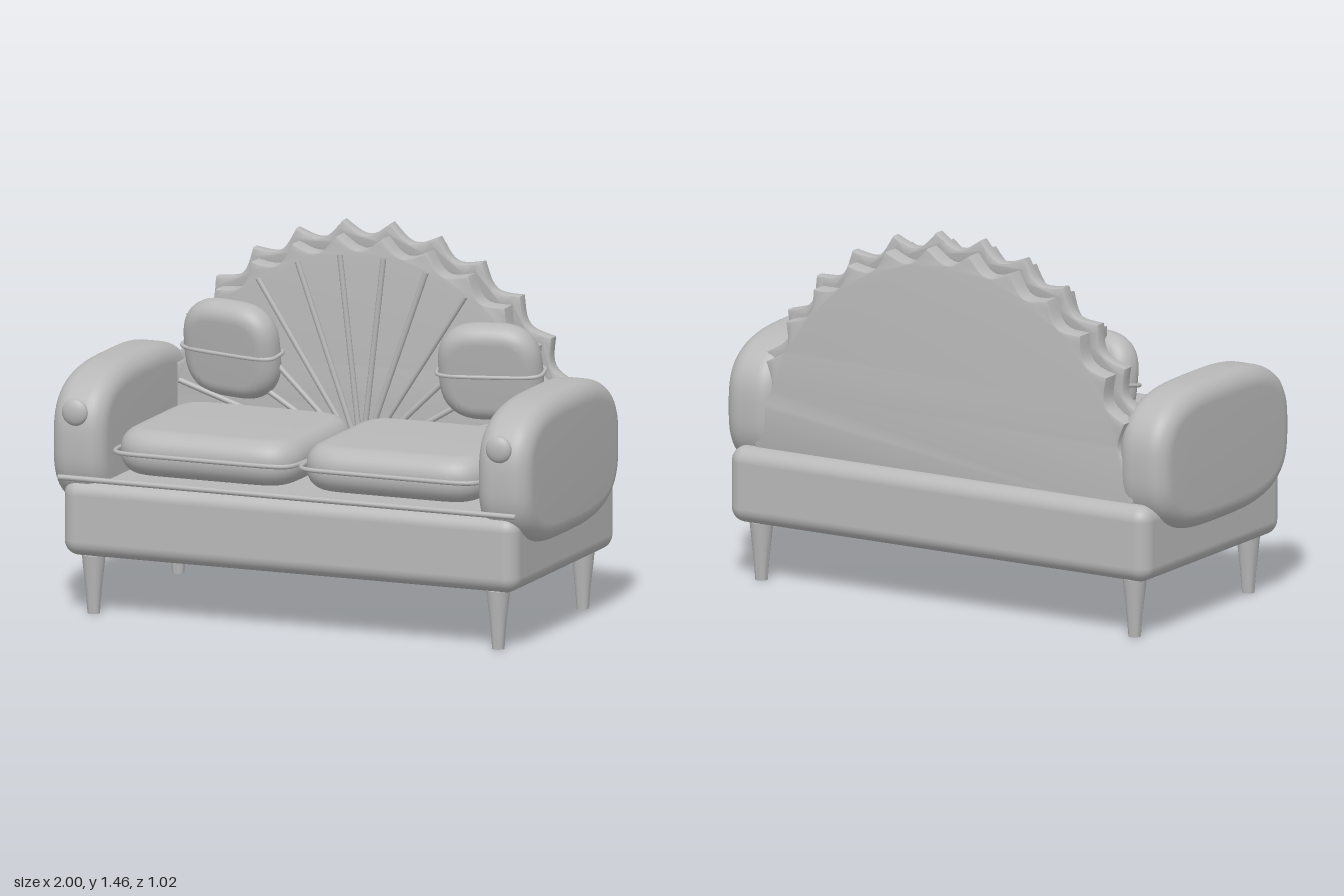
import * as THREE from 'three';
import { toCreasedNormals } from 'three/addons/utils/BufferGeometryUtils.js';
import { RoundedBoxGeometry } from 'three/addons/geometries/RoundedBoxGeometry.js';

const V2 = (x, y) => new THREE.Vector2(x, y);
const V3 = (x, y, z) => new THREE.Vector3(x, y, z);
const grey = new THREE.MeshStandardMaterial({ color: 0xb8b8b8 });
grey.name = 'upholstery grey';

function part(parent, name, geometry, x = 0, y = 0, z = 0) {
  const mesh = new THREE.Mesh(geometry, grey);
  mesh.name = name;
  mesh.position.set(x, y, z);
  parent.add(mesh);
  return mesh;
}

// Rounded-rectangle outline as a superellipse; larger n gives tighter corners
function outline(w, h, n, count = 72) {
  const soft = v => Math.sign(v) * Math.abs(v) ** (2 / n);
  return Array.from({ length: count }, (_, i) => {
    const a = ((i + 0.5) / count) * Math.PI * 2;
    return V2((w / 2) * soft(Math.cos(a)), (h / 2) * soft(Math.sin(a)));
  });
}

// Extrusion centred on z with rounded edges, total thickness d
function slab(points, d, bevel, steps, crease) {
  const depth = d - 2 * bevel;
  const geometry = new THREE.ExtrudeGeometry(new THREE.Shape(points), {
    depth, bevelThickness: bevel, bevelSize: bevel, bevelSegments: steps, curveSegments: 1,
  });
  geometry.translate(0, 0, -depth / 2);
  return toCreasedNormals(geometry, crease);
}

const padded = (w, h, d, n, bevel) =>
  slab(outline(w - 2 * bevel, h - 2 * bevel, n), d, bevel, 8, 0.8);

// Closed cord lying in the xz plane
function cord(w, d, n, radius) {
  const path = outline(w, d, n, 48).map(p => V3(p.x, 0, p.y));
  return new THREE.TubeGeometry(new THREE.CatmullRomCurve3(path, true), 128, radius, 8, true);
}

function rod(a, b, radius) {
  return new THREE.TubeGeometry(new THREE.LineCurve3(a, b), 1, radius, 10);
}

// Scalloped fan edge: cusps at the tips, hollows between them
const FAN_Y = 0.55, STEP = 12.6, FIRST = 9.3, SCALLOPS = 13;
function fanEdge(tipRadius) {
  const points = [];
  for (let i = 0; i <= SCALLOPS * 10; i++) {
    const a = THREE.MathUtils.degToRad(FIRST + (STEP * i) / 10);
    const r = tipRadius - 0.055 * Math.abs(Math.sin((i / 10) * Math.PI));
    points.push(V2(r * Math.cos(a), FAN_Y + r * Math.sin(a)));
  }
  return points;
}

export function createModel() {
  const sofa = new THREE.Group();
  sofa.name = 'fan back sofa';

  // Base and front trim rod
  part(sofa, 'base', new RoundedBoxGeometry(1.9, 0.3, 0.995, 6, 0.06), 0, 0.38, -0.0125);
  part(sofa, 'frontTrim', rod(V3(-0.955, 0.54, 0.488), V3(0.955, 0.54, 0.488), 0.011));

  // Tapered legs
  const legProfile = [V2(0, 0), V2(0.024, 0), V2(0.031, 0.09), V2(0.042, 0.19), V2(0.046, 0.23), V2(0, 0.24)];
  const leg = toCreasedNormals(new THREE.LatheGeometry(legProfile, 24), 0.7);
  for (const x of [-0.845, 0.845]) for (const z of [0.4, -0.42]) part(sofa, 'leg', leg, x, 0, z);

  // Scalloped fan back, its raised rim and the radiating ribs
  const body = [...fanEdge(0.86), V2(-0.85, 0.48), V2(0.85, 0.48)];
  part(sofa, 'fanBack', slab(body, 0.2, 0.006, 2, 0.6), 0, 0, -0.352);
  const rim = [...fanEdge(0.903), ...fanEdge(0.868).reverse()];
  part(sofa, 'fanRim', slab(rim, 0.054, 0.01, 2, 0.6), 0, 0, -0.353);
  for (let i = 0; i < 12; i++) {
    const a = THREE.MathUtils.degToRad(18 + (144 * i) / 11);
    const at = r => V3(r * Math.cos(a), FAN_Y + r * Math.sin(a), -0.236);
    part(sofa, 'fanRib', rod(at(0.12), at(0.8), 0.011));
  }

  // Arms, knobs, seat cushions and pillows, mirrored
  const arm = padded(0.955, 0.572, 0.222, 3.3, 0.075).rotateY(Math.PI / 2);
  const seat = padded(0.76, 0.71, 0.18, 9, 0.08).rotateX(-Math.PI / 2);
  const pillow = padded(0.41, 0.39, 0.135, 3.6, 0.064);
  const knob = new THREE.SphereGeometry(0.053, 24, 16).scale(1, 1, 0.47);
  for (const side of [-1, 1]) {
    part(sofa, 'arm', arm, side * 0.888, 0.67, 0.0125);
    part(sofa, 'armKnob', knob, side * 0.885, 0.8, 0.49);
    part(sofa, 'seatCushion', seat, side * 0.388, 0.64, 0.085);
    part(sofa, 'seatPiping', cord(0.762, 0.712, 10, 0.009), side * 0.388, 0.642, 0.085);

    const group = new THREE.Group();
    group.name = 'pillow';
    group.position.set(side * 0.54, 0.94, -0.237);
    group.rotation.set(0.18, side * 0.16, 0);
    part(group, 'pillowCushion', pillow);
    part(group, 'pillowPiping', cord(0.42, 0.14, 4, 0.008));
    sofa.add(group);
  }
  return sofa;
}
